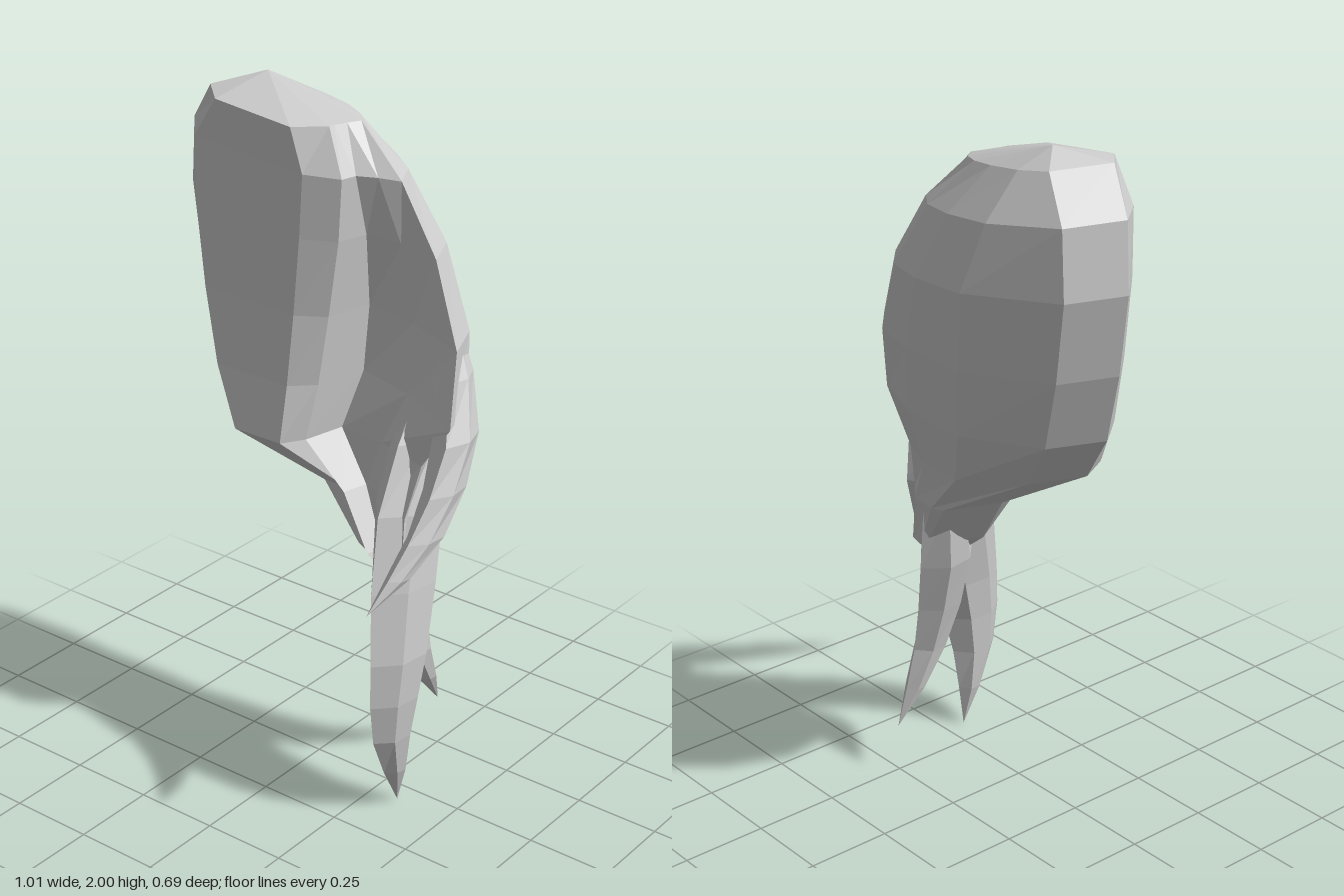
import * as THREE from 'three';

const material = new THREE.MeshStandardMaterial({ color: 0xcccccc, flatShading: true, side: THREE.DoubleSide });

// Skin a stack of loops (top to bottom, each clockwise from above) and close both ends with a fan.
function loft(name, loops, top, bottom) {
  const n = loops[0].length;
  const points = [];
  const last = loops[loops.length - 1];
  for (let j = 0; j < n; j++) {
    const k = (j + 1) % n;
    points.push(top, loops[0][k], loops[0][j]);
    for (let i = 0; i < loops.length - 1; i++) {
      const [u, d] = [loops[i], loops[i + 1]];
      points.push(u[j], u[k], d[k], u[j], d[k], d[j]);
    }
    points.push(bottom, last[j], last[k]);
  }
  const geometry = new THREE.BufferGeometry().setFromPoints(points);
  geometry.computeVertexNormals();
  const mesh = new THREE.Mesh(geometry, material);
  mesh.name = name;
  return mesh;
}

// One level of the main mass from five anchors (x, z): front panel corner, left side,
// back, forward tip of the sweep, and the ridge beside the front panel.
function level([y, fx, fz, lx, lz, bx, bz, tx, tz, rx, rz]) {
  const back = new THREE.Vector2(bx, bz);
  const tip = new THREE.Vector2(tx, tz);
  const ridge = new THREE.Vector2(rx, rz);
  const sweep = new THREE.QuadraticBezierCurve(back, new THREE.Vector2(tx - 0.05, bz - 0.015), tip);
  const depth = 0.35 * (tx - rx);
  const hollow = (f, s) => tip.clone().lerp(ridge, f).add(new THREE.Vector2(0, -depth * s));
  const outline = [
    new THREE.Vector2(fx, fz),
    new THREE.Vector2(lx, lz),
    new THREE.Vector2(lx + 0.065, lz - 0.16),
    ...sweep.getPoints(4),
    hollow(0.5, 0.7),
    hollow(0.92, 1),
    ridge,
    new THREE.Vector2(rx + 0.2 * (fx - rx), fz),
  ];
  const tilt = 0.15 * Math.max(0, y - 1.2); // the crown slopes down to the swept side
  return outline.map((p) => new THREE.Vector3(p.x, y - tilt * p.x, p.y));
}

// A tapering blade between a back rail and a front rail. Stations: y, back x z, front x z.
function lock(name, width, stations, tip) {
  const rail = (i) => new THREE.CatmullRomCurve3(
    [...stations.map((s) => new THREE.Vector3(s[i], s[0], s[i + 1])), tip]);
  const [backRail, frontRail] = [rail(1), rail(3)];
  const steps = stations.length * 2;
  const loops = [];
  for (let i = 0; i < steps; i++) {
    const f = i / steps;
    const a = backRail.getPoint(f);
    const b = frontRail.getPoint(f);
    const thickness = width * Math.min(1, 0.25 + 3 * f) * Math.sqrt(1 - f); // slim root sits inside the mass
    const out = new THREE.Vector3(b.z - a.z, 0, a.x - b.x).setLength(thickness);
    const at = (g, s) => a.clone().lerp(b, g).addScaledVector(out, s);
    loops.push([a, at(0.3, 1), at(0.7, 0.9), b, at(0.7, -0.9), at(0.3, -1)]);
  }
  return loft(name, loops, backRail.getPoint(0).lerp(frontRail.getPoint(0), 0.5), tip);
}

export function createModel() {
  const group = new THREE.Group();
  group.name = 'sweptHair';

  // Rounded main mass with a flat front panel, narrowing to a trunk for the locks
  const levels = [
    [1.92, -0.31, 0.055, -0.39, -0.02, -0.24, -0.21, 0.04, -0.13, 0.01, -0.03],
    [1.8, -0.39, 0.05, -0.485, -0.06, -0.22, -0.3, 0.19, -0.11, 0.075, 0],
    [1.62, -0.385, 0.055, -0.505, -0.07, -0.17, -0.345, 0.32, -0.09, 0.065, 0],
    [1.4, -0.35, 0.065, -0.455, -0.05, -0.14, -0.33, 0.435, -0.03, 0.04, 0.01],
    [1.2, -0.29, 0.09, -0.38, -0.02, -0.1, -0.3, 0.475, 0.05, 0.02, 0.03],
    [1.04, -0.2, 0.125, -0.25, 0.03, -0.04, -0.26, 0.35, 0, 0, 0.06],
    [0.9, 0.02, 0, 0, -0.06, 0.1, -0.235, 0.34, 0.06, 0.11, 0.03],
    [0.74, 0.14, 0, 0.12, -0.03, 0.2, -0.195, 0.36, 0.1, 0.2, 0.04],
  ];
  group.add(loft('mainHair', levels.map(level),
    new THREE.Vector3(-0.27, 2, -0.12), new THREE.Vector3(0.27, 0.62, -0.04)));

  // Lock sweeping forward around the side
  group.add(lock('forwardLock', 0.07, [
    [1.45, 0.29, -0.19, 0.37, -0.08],
    [1.15, 0.4, -0.12, 0.47, 0.06],
    [0.92, 0.465, 0.06, 0.46, 0.21],
  ], new THREE.Vector3(0.425, 0.755, 0.34)));

  // Longest lock, curving down and slightly forward
  group.add(lock('longLock', 0.092, [
    [1.25, 0.2, -0.2, 0.27, -0.11],
    [0.9, 0.29, -0.17, 0.28, 0.1],
    [0.5, 0.35, -0.03, 0.335, 0.2],
    [0.25, 0.35, 0.04, 0.34, 0.19],
  ], new THREE.Vector3(0.335, 0, 0.065)));

  // Short lock at the back with a flicked tip
  group.add(lock('backLock', 0.075, [
    [1.1, 0.11, -0.24, 0.15, -0.13],
    [0.67, 0.19, -0.205, 0.21, 0],
    [0.38, 0.245, -0.19, 0.243, -0.07],
  ], new THREE.Vector3(0.245, 0.15, -0.255)));

  return group;
}
